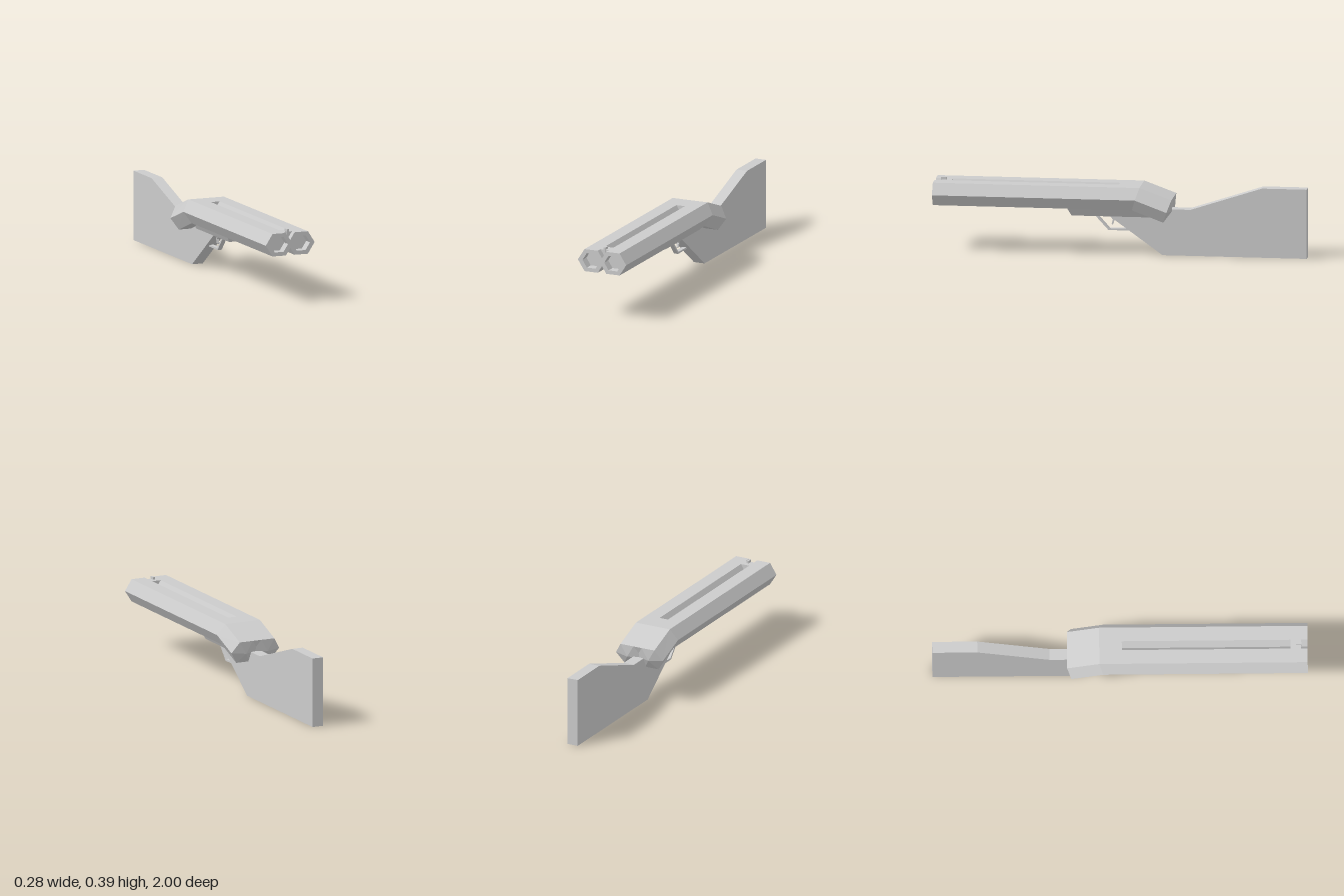
import * as THREE from 'three';

const material = new THREE.MeshStandardMaterial({ color: 0xcccccc, flatShading: true, side: THREE.DoubleSide });

function addMesh(parent, name, geometry) {
  const mesh = new THREE.Mesh(geometry, material);
  mesh.name = name;
  parent.add(mesh);
  return mesh;
}

// Skins a row of equal-length rings (counterclockwise seen from +z, running front to back)
function loft(rings) {
  const tri = new THREE.Triangle();
  const pos = [];
  const face = (a, b, c) => {
    if (tri.set(a, b, c).getArea() > 1e-9) [a, b, c].forEach(p => pos.push(p.x, p.y, p.z));
  };
  for (let r = 0; r + 1 < rings.length; r++) {
    const A = rings[r], B = rings[r + 1];
    A.forEach((_, i) => {
      const j = (i + 1) % A.length;
      face(A[i], B[i], B[j]);
      face(A[i], B[j], A[j]);
    });
  }
  const g = new THREE.BufferGeometry();
  g.setAttribute('position', new THREE.Float32BufferAttribute(pos, 3));
  g.computeVertexNormals();
  return g;
}

// Ring collapsed to its centre, optionally shifted
function tip(ring, dy = 0, dz = 0) {
  const c = new THREE.Vector3();
  ring.forEach(p => c.add(p));
  c.divideScalar(ring.length).add(new THREE.Vector3(0, dy, dz));
  return ring.map(() => c);
}

const capped = rings => loft([tip(rings[0]), ...rings, tip(rings[rings.length - 1])]);

// Ring from [x, y] points; z and the drop in y may lean with height
const ring = (points, zAt, drop = 0) => points.map(([x, y]) => new THREE.Vector3(x, y - drop, zAt(y)));

// Side profile of [z, y] points extruded across x
function sideProfile(points, width) {
  const shape = new THREE.Shape(points.map(([z, y]) => new THREE.Vector2(z, y)));
  return new THREE.ExtrudeGeometry(shape, { depth: width, bevelEnabled: false })
    .translate(0, 0, -width / 2).rotateY(-Math.PI / 2);
}

const BARREL_X = 0.064, BARREL_Y = 0.315;
const hexagon = (rx, ry) => [[1, 0], [0.5, 1], [-0.5, 1], [-1, 0], [-0.5, -1], [0.5, -1]]
  .map(([x, y]) => [x * rx, BARREL_Y + y * ry]);

// Planes where the barrels bend down and where they end
const bendZ = y => -0.09 - (y - BARREL_Y) * 0.33;
const endZ = y => -0.26 - (y - BARREL_Y) * 0.36;
const DROP = 0.063;

export function createModel() {
  const model = new THREE.Group();
  model.name = 'doubleBarrelGun';

  // Twin hexagonal barrels with shallow bores, bent breech and pointed rear caps
  const outer = hexagon(0.078, 0.061), bore = hexagon(0.051, 0.04);
  const floor = ring(bore, () => 0.95);
  const rear = ring(outer, endZ, DROP);
  const barrelGeometry = loft([
    tip(floor), floor, ring(bore, () => 1), ring(outer, () => 1),
    ring(outer, bendZ), rear, tip(rear, -0.006, -0.02),
  ]);
  for (const [name, side] of [['leftBarrel', 1], ['rightBarrel', -1]]) {
    addMesh(model, name, barrelGeometry).position.x = side * BARREL_X;
  }

  // Fillers closing the valley between the barrels
  const valley = [[0.026, 0.376], [-0.026, 0.376], [0, 0.32]];
  addMesh(model, 'breechFiller', capped([
    ring(valley, () => 0.01), ring(valley, bendZ), ring(valley, endZ, DROP),
  ]));
  addMesh(model, 'sightBase', capped([ring(valley, () => 0.965), ring(valley, () => 0.91)]));

  // Front sight
  addMesh(model, 'frontSight', new THREE.BoxGeometry(0.012, 0.03, 0.03)).position.set(0, 0.374, 0.953);

  // Tapered receiver under the barrels, with a ridge filling the lower valley
  const under = [[0.06, 0.256], [0, 0.288], [-0.06, 0.256], [-0.031, 0.203], [0.031, 0.203]];
  addMesh(model, 'receiver', capped([
    ring(under, y => 0.29 + (Math.min(y, 0.256) - 0.256) * 0.5),
    ring(under, () => -0.17),
  ]));

  // Slab stock
  addMesh(model, 'stock', sideProfile([
    [0.06, 0.205], [-0.225, 0], [-1, 0], [-1, 0.376], [-0.76, 0.376], [-0.375, 0.25], [-0.1, 0.25],
  ], 0.062));

  // Bent strap trigger guard
  addMesh(model, 'triggerGuard', sideProfile([
    [0.142, 0.206], [0.068, 0.125], [-0.045, 0.125], [-0.045, 0.135], [0.063, 0.135], [0.127, 0.206],
  ].reverse(), 0.024));

  // Curved trigger
  addMesh(model, 'trigger', sideProfile([
    [0.062, 0.206], [0.042, 0.206], [0.036, 0.178], [0.046, 0.154], [0.052, 0.157], [0.045, 0.18],
  ], 0.012));

  return model;
}
